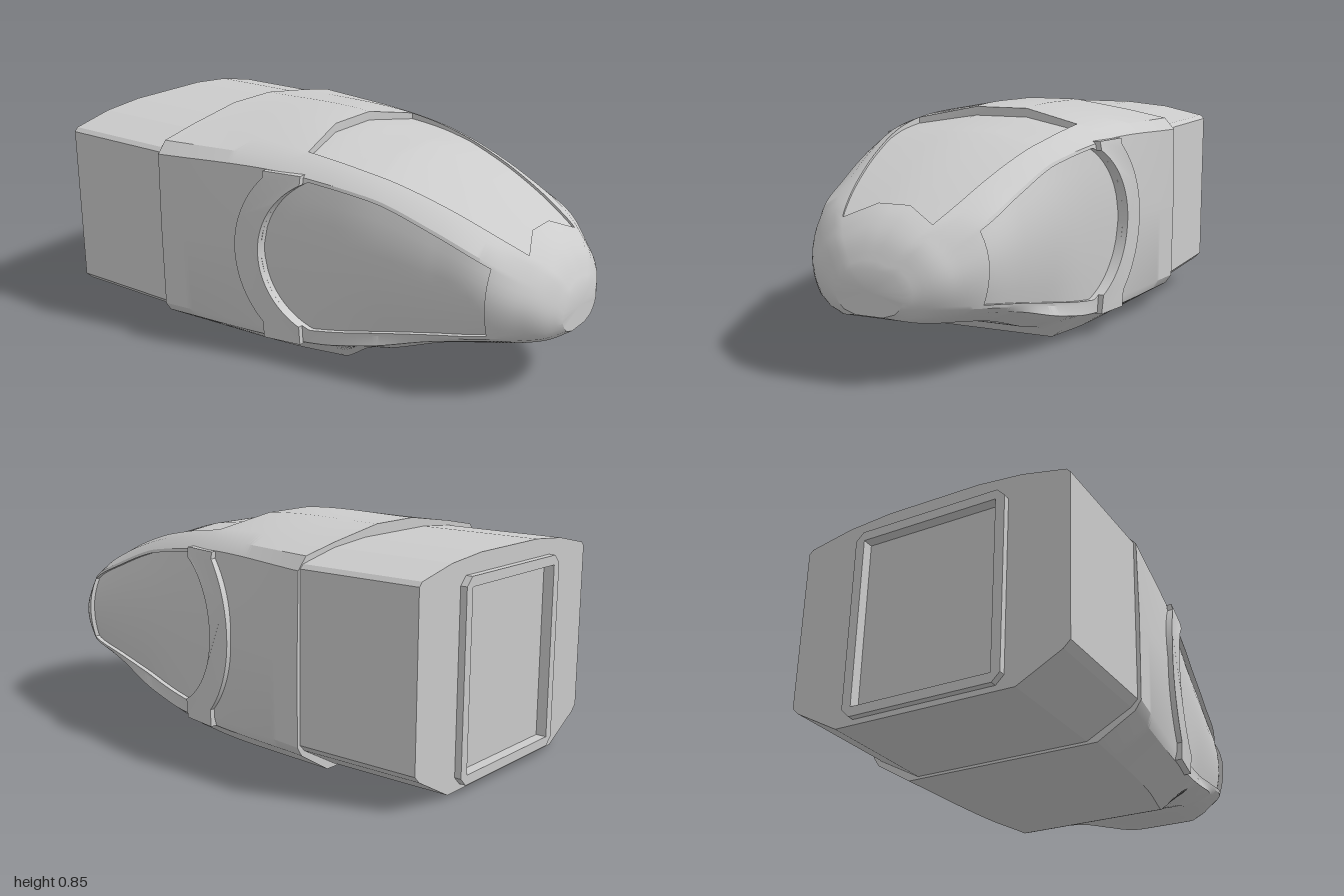
import * as THREE from 'three';
import { toCreasedNormals } from 'three/addons/utils/BufferGeometryUtils.js';

const CREASE = 0.5;

// Hull key sections along x (half widths in z, heights in y):
// x, mid width, belly y, belly z, chamfer z y, side bottom z y, side top z y, shoulder z y, roof edge z y, roof y
const KEYS = [
  [-0.5, 0.545, 0, 0.38, 0.52, 0.085, 0.543, 0.12, 0.54, 0.73, 0.5, 0.775, 0.34, 0.805, 0.84],
  [0, 0.478, 0, 0.34, 0.46, 0.085, 0.468, 0.12, 0.45, 0.735, 0.41, 0.77, 0.34, 0.795, 0.838],
  [0.2, 0.447, 0, 0.3, 0.435, 0.1, 0.432, 0.14, 0.415, 0.715, 0.37, 0.755, 0.325, 0.772, 0.803],
  [0.3, 0.434, 0.06, 0.29, 0.418, 0.118, 0.412, 0.156, 0.396, 0.7, 0.352, 0.737, 0.31, 0.753, 0.783],
  [0.4, 0.42, 0.085, 0.28, 0.4, 0.14, 0.39, 0.175, 0.375, 0.68, 0.33, 0.715, 0.29, 0.73, 0.757],
  [0.6, 0.387, 0.15, 0.24, 0.35, 0.195, 0.36, 0.215, 0.345, 0.61, 0.29, 0.65, 0.25, 0.663, 0.685],
  [0.8, 0.345, 0.19, 0.2, 0.29, 0.23, 0.32, 0.25, 0.305, 0.525, 0.245, 0.56, 0.2, 0.572, 0.592],
  [0.9, 0.28, 0.205, 0.16, 0.22, 0.235, 0.25, 0.26, 0.235, 0.46, 0.19, 0.5, 0.16, 0.515, 0.535],
  [0.96, 0.215, 0.22, 0.12, 0.165, 0.24, 0.185, 0.265, 0.175, 0.42, 0.145, 0.45, 0.115, 0.46, 0.47],
  [1, 0.13, 0.235, 0.05, 0.095, 0.25, 0.115, 0.27, 0.115, 0.35, 0.09, 0.375, 0.06, 0.385, 0.39],
];
const spline = new THREE.CubicInterpolant(
  KEYS.map((k) => k[0]), KEYS.flatMap((k) => k.slice(1)), 14);

function keyAt(x) {
  const [w, yb, wb, zc, yc, zB, yB, zT, yT, zS, yS, zR, yR, top] = spline.evaluate(x);
  return { w, yb: Math.max(0, yb), wb, zc, yc, zB, yB, zT, yT, zS, yS, zR, yR, top };
}

// Bulging side wall: half width at height y
function sideWidth(k, y) {
  const mid = (k.yB + k.yT) / 2;
  const t = (y - mid) / (k.yT - mid);
  return k.w - (k.w - (t > 0 ? k.zT : k.zB)) * t * t;
}

// Half section from belly centre to roof centre, as [x, y, z] rows
const ROOF_ROW = 20;
function halfSection(x, sideOpen, roofOpen) {
  const k = keyAt(x);
  const flat = (z, y) => [x, y, z];
  // side window edges, closing to an arc at the back
  const arc = x > 0.2 ? 1 : Math.sqrt(Math.max(0.0004, 0.31 ** 2 - (0.26 - x) ** 2));
  const lo = Math.max(k.yB + 0.012, 0.43 - arc);
  const hi = Math.min(k.yT - 0.012, 0.43 + arc);
  const inset = sideOpen ? 0.02 : 0;
  const rows = [flat(0, k.yb), flat(k.wb, k.yb), flat(k.zc, k.yc), flat(k.zB, k.yB)];
  rows.push(flat(sideWidth(k, lo), lo));
  for (let i = 0; i <= 8; i++) {
    const y = lo + ((hi - lo) * i) / 8;
    rows.push(flat(sideWidth(k, y) - inset, y));
  }
  rows.push(flat(sideWidth(k, hi), hi), flat(k.zT, k.yT), flat(k.zS, k.yS));
  // windscreen ends sweep forward toward its corners
  const fade = THREE.MathUtils.clamp(Math.min((x + 0.3) / 0.3, (1 - x) / 0.17), 0, 1);
  const xr = x + 0.05 * fade;
  const r = keyAt(xr);
  const drop = roofOpen ? 0.035 - 0.02 * Math.min(x / 0.3, 1) : 0;
  rows.push([xr, r.yR, r.zR], [xr, r.yR - drop * 0.7, r.zR]);
  rows.push(flat(k.zR * 0.32, k.top - drop), flat(0, k.top - drop));
  return rows;
}

// Lofted nose hull with recessed side windows and windscreen
function buildHull(group) {
  const breaks = [-0.5, -0.05, 0.01, 0.81, 0.83, 1];
  const rings = [];
  const collapsed = (x, y) => Array.from({ length: ROOF_ROW + 1 }, () => [x, y, 0]);
  rings.push({ half: collapsed(-0.5, 0.43), seg: -1 });
  for (let s = 0; s < breaks.length - 1; s++) {
    const [a, b] = [breaks[s], breaks[s + 1]];
    const n = Math.ceil((b - a) / 0.0125);
    const side = s === 1 || s === 2;
    const roof = s === 2 || s === 3;
    for (let i = 0; i <= n; i++) {
      rings.push({ half: halfSection(a + ((b - a) * i) / n, side, roof), seg: s, side, roof });
    }
  }
  rings.push({ half: collapsed(1, 0.315), seg: -2 });

  const loop = 2 * ROOF_ROW;
  const row = (j) => (j <= ROOF_ROW ? j : loop - j);
  const positions = [];
  for (const { half } of rings) {
    for (let j = 0; j < loop; j++) {
      const [x, y, z] = half[row(j)];
      positions.push(x, y, j <= ROOF_ROW ? z : -z);
    }
  }
  const parts = { hull: [], sideWindows: [], windscreen: [] };
  for (let i = 0; i < rings.length - 1; i++) {
    const inside = rings[i].seg === rings[i + 1].seg;
    for (let j = 0; j < loop; j++) {
      const r = Math.min(row(j), row(j + 1));
      let name = 'hull';
      if (inside && rings[i].side && r >= 5 && r < 13) name = 'sideWindows';
      if (inside && rings[i].roof && r >= 18) name = 'windscreen';
      const a = i * loop + j;
      const d = i * loop + ((j + 1) % loop);
      parts[name].push(a, a + loop, d, a + loop, d + loop, d);
    }
  }
  for (const [name, index] of Object.entries(parts)) {
    const geo = new THREE.BufferGeometry();
    geo.setAttribute('position', new THREE.Float32BufferAttribute(positions, 3));
    geo.setIndex(index);
    addMesh(group, name, toCreasedNormals(geo, CREASE));
  }
}

// Curved collar plate wrapped onto the side wall behind a window
function collarGeometry(sign) {
  const s = new THREE.Shape();
  s.moveTo(0.11, 0.735);
  s.lineTo(-0.04, 0.735);
  s.absarc(0.26, 0.43, 0.41, 2.391, 3.892, false);
  s.lineTo(-0.04, 0.085);
  s.lineTo(0.11, 0.085);
  s.absarc(0.26, 0.43, 0.31, 4.207, 2.076, true);
  s.closePath();
  const geo = new THREE.ExtrudeGeometry(s, { depth: 0.04, bevelEnabled: false, curveSegments: 24 });
  const p = geo.attributes.position;
  for (let i = 0; i < p.count; i++) {
    const wall = sideWidth(keyAt(p.getX(i)), p.getY(i));
    p.setZ(i, sign * (wall - 0.02) + p.getZ(i) - (sign < 0 ? 0.04 : 0));
  }
  return toCreasedNormals(geo, CREASE);
}

// Symmetric outline extruded along x, with an optional rectangular opening
function extrudeAlongX(half, x, depth, hole) {
  const pts = [...half, ...half.map(([z, y]) => [-z, y]).reverse()];
  const shape = new THREE.Shape(pts.map(([z, y]) => new THREE.Vector2(z, y)));
  if (hole) {
    const [w, y0, y1] = hole;
    shape.holes.push(new THREE.Path([[-w, y0], [-w, y1], [w, y1], [w, y0]]
      .map(([z, y]) => new THREE.Vector2(z, y))));
  }
  return new THREE.ExtrudeGeometry(shape, { depth, bevelEnabled: false })
    .rotateY(Math.PI / 2).translate(x, 0, 0);
}

const material = new THREE.MeshStandardMaterial({ color: 0xcccccc });
function addMesh(group, name, geometry) {
  const mesh = new THREE.Mesh(geometry, material);
  mesh.name = name;
  group.add(mesh);
}

export function createModel() {
  const group = new THREE.Group();
  group.name = 'noseSection';
  buildHull(group);
  addMesh(group, 'leftCollar', collarGeometry(-1));
  addMesh(group, 'rightCollar', collarGeometry(1));

  // Straight rear section with a doorway
  const rear = [[0.34, 0.01], [0.505, 0.1], [0.53, 0.125], [0.53, 0.735], [0.515, 0.75], [0.35, 0.785], [0.18, 0.8]];
  addMesh(group, 'rearSection', extrudeAlongX(rear, -0.975, 0.475, [0.265, 0.065, 0.7]));

  // Door frame with clipped corners and the recessed door
  const frame = [[0.27, 0.03], [0.3, 0.06], [0.3, 0.705], [0.27, 0.735]];
  addMesh(group, 'doorFrame', extrudeAlongX(frame, -1, 0.026, [0.265, 0.065, 0.7]));
  addMesh(group, 'rearDoor', new THREE.BoxGeometry(0.03, 0.65, 0.54).translate(-0.945, 0.3825, 0));
  return group;
}
